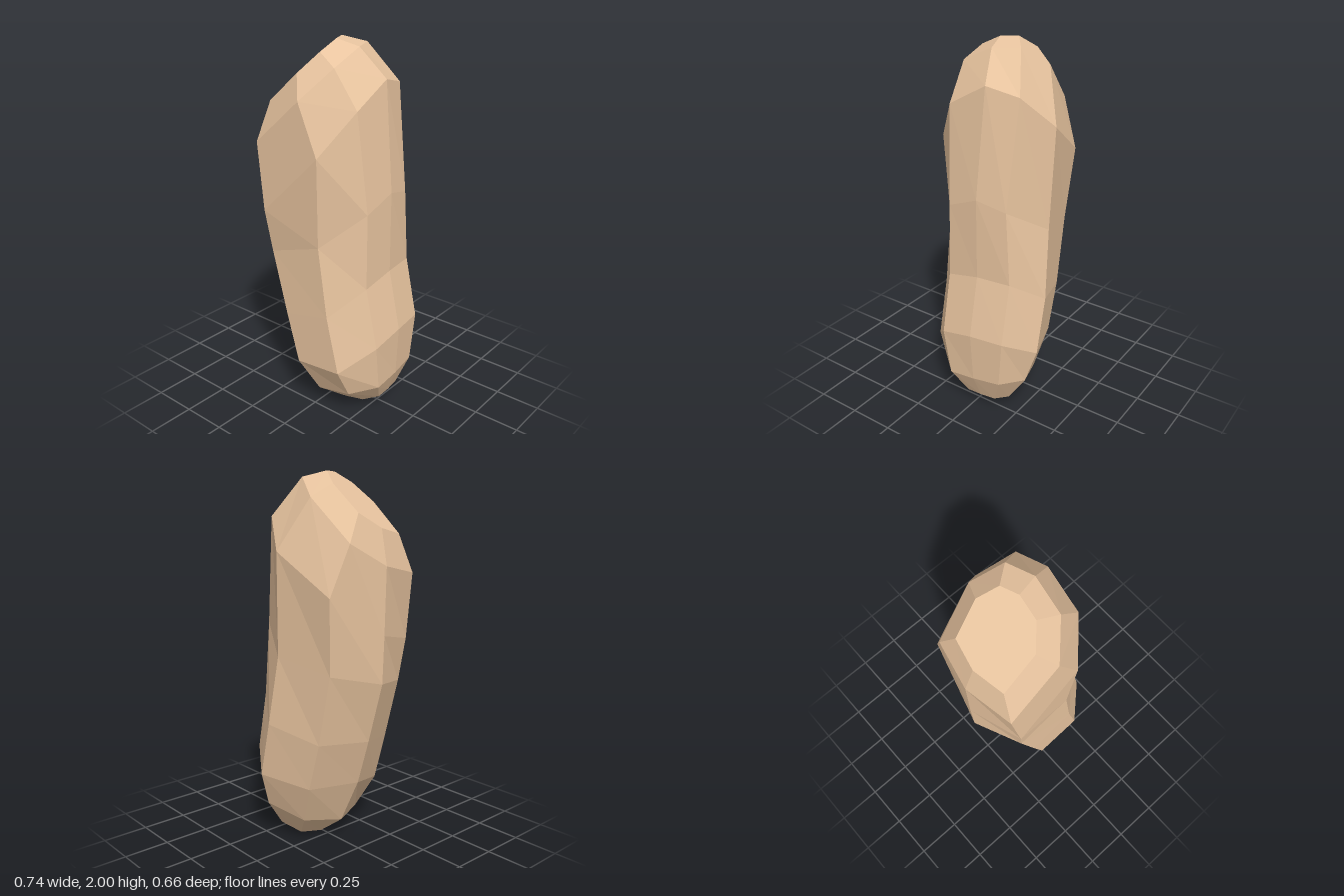
import * as THREE from 'three';

// Eight-sided outlines, each corner [x, z, lift]: x and z are fractions of the ring's size
const TOP = [[1, -0.21, 0], [0.95, 0.48, 0], [0.45, 0.99, 0], [-0.76, 1, 0],
  [-1, 0.02, 0], [-0.84, -0.81, 0], [0.14, -1, 0], [0.77, -0.72, 0]];
const SHOULDER = [[1, -0.17, 0.05], [0.98, 0.51, 0], [0.555, 0.985, -0.05], [-0.66, 1, -0.03],
  [-1, 0.17, 0.05], [-0.775, -0.785, 0.1], [0.3, -1, -0.03], [0.86, -0.69, 0]];
const WAIST = [[1, -0.1, 0.05], [0.96, 0.49, 0.01], [0.36, 1, -0.05], [-0.635, 1, 0.01],
  [-1, 0.2, 0.07], [-0.72, -0.72, 0.05], [0.23, -1, -0.05], [0.915, -0.63, 0]];
const HIP = [[1, -0.06, 0.04], [0.97, 0.53, 0.02], [0.45, 0.99, -0.065], [-0.55, 1, -0.015],
  [-1, 0.2, 0.06], [-0.72, -0.68, 0.02], [0.31, -1, -0.035], [0.92, -0.65, 0.03]];
const BOTTOM = [[1, -0.05, 0], [1, 0.57, 0], [0.43, 1, 0], [-0.55, 1, 0],
  [-1, 0.2, 0], [-0.72, -0.68, 0], [0.28, -1, 0], [0.92, -0.68, 0]];

// Tilted rings from top to bottom: outline, centre x, y, z, half width, half depth, slope in x, slope in z
const RINGS = [
  [TOP, -0.167, 1.857, 0.07, 0.153, 0.166, 0.85, -0.4],
  [TOP, -0.132, 1.745, 0.057, 0.237, 0.258, 0.85, -0.4],
  [SHOULDER, -0.065, 1.454, 0.005, 0.298, 0.325, 1, -0.3],
  [WAIST, -0.03, 1.035, 0, 0.323, 0.305, 0.5, -0.15],
  [HIP, 0.015, 0.662, -0.01, 0.28, 0.32, 0.4, -0.1],
  [HIP, 0.09, 0.37, -0.01, 0.276, 0.32, 0.27, -0.1],
  [BOTTOM, 0.135, 0.155, -0.02, 0.215, 0.25, 0.22, -0.12],
  [BOTTOM, 0.172, 0.033, -0.035, 0.122, 0.135, 0.25, -0.05],
];

function ringPoints([outline, cx, cy, cz, rx, rz, slopeX, slopeZ]) {
  return outline.map(([x, z, lift]) => {
    const dx = rx * x, dz = rz * z;
    return [cx + dx, Math.max(0, cy + slopeX * dx + slopeZ * dz + lift), cz + dz];
  });
}

function bodyGeometry() {
  const n = TOP.length;
  const last = (RINGS.length - 1) * n;
  const index = [];
  // Side facets between neighbouring rings
  for (let r = 0; r < RINGS.length - 1; r++) {
    for (let j = 0; j < n; j++) {
      const a = r * n + j, b = r * n + (j + 1) % n;
      index.push(a, b, a + n, b, b + n, a + n);
    }
  }
  // Flat caps at both ends
  for (let j = 1; j < n - 1; j++) {
    index.push(0, j + 1, j, last, last + j, last + j + 1);
  }
  const geometry = new THREE.BufferGeometry();
  geometry.setAttribute('position', new THREE.Float32BufferAttribute(RINGS.flatMap(ringPoints).flat(), 3));
  geometry.setIndex(index);
  const faceted = geometry.toNonIndexed();
  faceted.computeVertexNormals();
  return faceted;
}

export function createModel() {
  const group = new THREE.Group();
  group.name = 'peanut';
  const shell = new THREE.Mesh(
    bodyGeometry(),
    new THREE.MeshStandardMaterial({ color: 0xe8c49f, flatShading: true }),
  );
  shell.name = 'shell';
  group.add(shell);
  return group;
}
